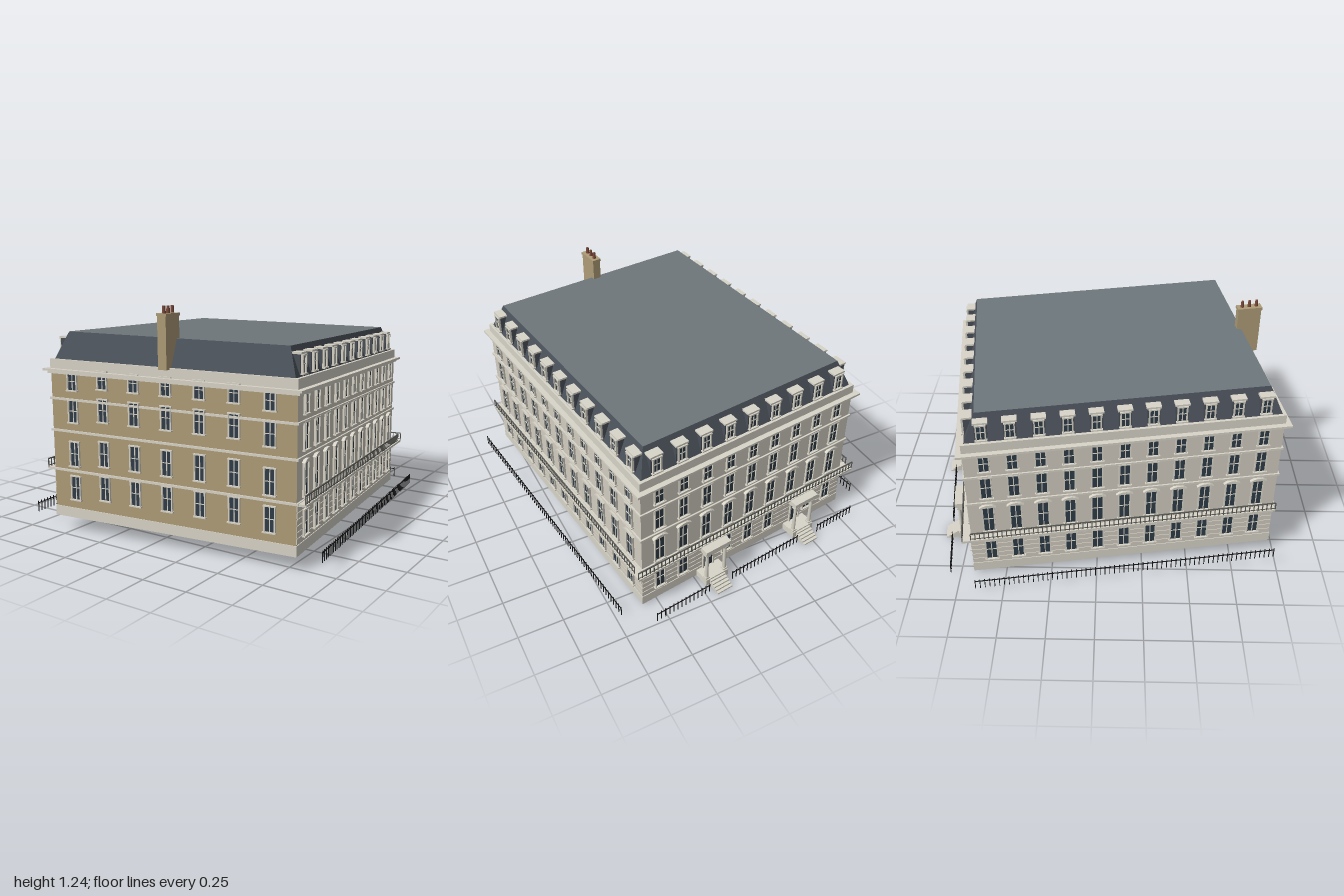
import * as THREE from 'three';
import { mergeGeometries } from 'three/addons/utils/BufferGeometryUtils.js';

const STONE = 0xd2cdc1, TRIM = 0xd8d4c8, BRICK = 0xae9c78, GLASS = 0x2f3c47, SLATE = 0x4a5059,
  LEAD = 0x6e777b, IRON = 0x161616, RAIL = 0x5c5c57, POT = 0x7b4a3a;
const HX = 0.70, HZ = 0.825;            // half width and half depth of the walls
const BASE = 0.05, EAVES = 0.905, RIDGE = 1.05;

export function createModel() {
  const group = new THREE.Group();
  const parts = new Map();

  // The house is turned on its plot and every level follows the sloping street.
  const slope = new THREE.Matrix4().set(1, 0, 0, 0, -0.0065, 1, 0.035, 0, 0, 0, 1, 0, 0, 0, 0, 1);
  const plot = new THREE.Matrix4().makeRotationY(0.131).setPosition(0, 0, 0.055).multiply(slope);

  function add(name, color, geo, matrix) {
    const g = geo.index ? geo.toNonIndexed() : geo;
    g.deleteAttribute('uv');
    if (matrix) g.applyMatrix4(matrix);
    if (!parts.has(name)) parts.set(name, { color, list: [] });
    parts.get(name).list.push(g);
  }
  // Box given by centre u, bottom y, inner depth w, and its size
  const box = (name, color, m, u, y, w, su, sy, sw) =>
    add(name, color, new THREE.BoxGeometry(su, sy, sw).translate(u, y + sy / 2, w + sw / 2), m);

  // Facades: u runs along the wall, w points outward from its face
  const facade = (angle, dist, half) => ({
    half, m: new THREE.Matrix4().makeRotationY(angle).multiply(new THREE.Matrix4().makeTranslation(0, 0, dist)),
  });
  const front = facade(0, HZ, HX), left = facade(Math.PI / 2, HX, HZ);
  const back = facade(Math.PI, HZ, HX), right = facade(-Math.PI / 2, HX, HZ);

  // Rectangular ring around the house
  function ring(name, color, out, y, h, inner = 0.01) {
    const rect = (C, x, z) => {
      const s = new C();
      s.moveTo(-x, -z); s.lineTo(x, -z); s.lineTo(x, z); s.lineTo(-x, z); s.closePath();
      return s;
    };
    const s = rect(THREE.Shape, HX + out, HZ + out);
    s.holes.push(rect(THREE.Path, HX - inner, HZ - inner));
    add(name, color, new THREE.ExtrudeGeometry(s, { depth: h, bevelEnabled: false }).rotateX(-Math.PI / 2).translate(0, y, 0));
  }

  function sashWindow(m, u, y, w, h, name, base = 0) {
    box(name + 'Glass', GLASS, m, u, y, base - 0.004, w, h, 0.007);
    for (const s of [-1, 1]) box(name + 'Frames', TRIM, m, u + s * w / 2, y, base, 0.007, h, 0.011);
    box(name + 'Frames', TRIM, m, u, y, base, 0.005, h, 0.006);
    box(name + 'Frames', TRIM, m, u, y + h / 2, base, w, 0.004, 0.006);
    box(name + 'Frames', TRIM, m, u, y + h, base, w + 0.012, 0.007, 0.012);
    box(name + 'Frames', TRIM, m, u, y - 0.007, base, w + 0.016, 0.007, 0.016);
  }

  // Walls, open underneath
  const wall = (name, color, f) =>
    add(name, color, new THREE.PlaneGeometry(f.half * 2, EAVES - BASE).translate(0, (EAVES + BASE) / 2, 0), f.m);
  wall('brickWall', BRICK, front);
  for (const f of [left, back, right]) wall('stoneWalls', STONE, f);

  // Plinth, string courses, cornice and parapet
  ring('plinth', TRIM, 0.004, BASE, 0.055);
  for (const y of [0.305, 0.52, 0.692]) ring('stringCourses', TRIM, 0.009, y, 0.012);
  ring('cornice', TRIM, 0.014, 0.832, 0.014);
  ring('cornice', TRIM, 0.032, 0.846, 0.012);
  ring('parapet', TRIM, 0.003, 0.858, 0.05, 0.014);

  // Brick front: seven columns, the middle five set slightly higher
  for (let c = -3; c <= 3; c++) {
    const lift = Math.abs(c) < 3 ? 0.02 : 0;
    for (const [y, h] of [[0.155, 0.125], [0.34, 0.128], [0.578, 0.115], [0.75, 0.088]])
      sashWindow(front.m, c * 0.188, y + lift, 0.056, h, 'frontWindow');
  }

  // Stone facades
  const porches = [-0.353, 0.274].map(x => -x);   // positions along the back wall
  const hood = new THREE.Shape();
  hood.moveTo(-0.045, 0); hood.lineTo(0.045, 0); hood.quadraticCurveTo(0, 0.036, -0.045, 0);
  for (const [f, n, step] of [[left, 5, 0.1444], [right, 5, 0.1444], [back, 4, 0.148]]) {
    // Rusticated ground floor
    for (let i = 0; i < 6; i++)
      box('rustication', STONE, f.m, 0, 0.112 + i * 0.032, 0, f.half * 2, 0.027, 0.004);
    for (let c = -n; c <= n; c++) {
      const u = c * step;
      if (f !== back || porches.every(p => Math.abs(p - u) > 0.075))
        sashWindow(f.m, u, 0.137, 0.06, 0.125, 'groundWindow', 0.003);
      sashWindow(f.m, u, 0.335, 0.06, 0.16, 'mainFloorWindow');
      add('windowHoods', TRIM, new THREE.ExtrudeGeometry(hood, { depth: 0.018, bevelEnabled: false, curveSegments: 5 })
        .translate(u, 0.5, 0), f.m);
      sashWindow(f.m, u, 0.56, 0.058, 0.13, 'upperWindow');
      sashWindow(f.m, u, 0.735, 0.056, 0.092, 'topWindow');
      // Dormer standing on the roof slope
      box('dormerCheeks', SLATE, f.m, u, EAVES, -0.068, 0.066, 0.108, 0.05);
      box('dormerRoofs', TRIM, f.m, u, EAVES + 0.108, -0.07, 0.076, 0.01, 0.058);
      sashWindow(f.m, u, EAVES + 0.018, 0.046, 0.082, 'dormer', -0.018);
    }
    // Balcony with brackets and balustrade
    const len = f.half * 2 + (f === back ? 0.1 : 0);
    box('balconySlab', TRIM, f.m, 0, 0.302, 0, len, 0.012, 0.05);
    box('balconyRails', RAIL, f.m, 0, 0.355, 0.042, len, 0.006, 0.006);
    box('balconyRails', RAIL, f.m, 0, 0.32, 0.043, len, 0.003, 0.004);
    const count = Math.round(len / 0.024);
    for (let i = 0; i <= count; i++)
      box('balconyRails', RAIL, f.m, (i / count - 0.5) * len, 0.314, 0.043, 0.005, 0.042, 0.004);
    for (let c = -n; c < n; c++)
      box('balconyBrackets', TRIM, f.m, (c + 0.5) * step, 0.282, 0, 0.014, 0.02, 0.038);
    // Street railing
    const dist = 0.132, fenceLen = f.half * 2 - 0.01, pickets = Math.round(fenceLen / 0.026);
    const open = u => f === back && porches.some(p => Math.abs(p - u) < 0.055);
    for (let i = 0; i <= pickets; i++) {
      const u = (i / pickets - 0.5) * fenceLen;
      if (open(u)) continue;
      box('streetRailings', IRON, f.m, u, 0.045, dist - 0.002, 0.004, 0.06, 0.004);
      if (i < pickets && !open(u + fenceLen / pickets))
        box('streetRailings', IRON, f.m, u + fenceLen / pickets / 2, 0.092, dist - 0.002, fenceLen / pickets, 0.004, 0.004);
    }
  }

  // Two porches with columns, door and steps
  for (const p of porches) {
    box('porchRoof', TRIM, back.m, p, 0.285, 0, 0.165, 0.026, 0.098);
    box('porchRoof', TRIM, back.m, p, 0.268, 0, 0.145, 0.018, 0.088);
    box('porchFloor', TRIM, back.m, p, 0.05, 0, 0.15, 0.04, 0.095);
    box('doors', GLASS, back.m, p, 0.09, 0, 0.06, 0.15, 0.007);
    for (const s of [-1, 1]) {
      box('doorFrames', TRIM, back.m, p + s * 0.034, 0.09, 0, 0.009, 0.155, 0.014);
      add('porchColumns', TRIM, new THREE.CylinderGeometry(0.0095, 0.011, 0.17, 12).translate(p + s * 0.06, 0.18, 0.075), back.m);
      box('porchColumns', TRIM, back.m, p + s * 0.06, 0.09, 0.061, 0.028, 0.01, 0.028);
      box('porchColumns', TRIM, back.m, p + s * 0.06, 0.26, 0.061, 0.028, 0.01, 0.028);
    }
    for (let i = 0; i < 5; i++)
      box('porchSteps', TRIM, back.m, p, 0.038, 0.09 + i * 0.016, 0.1, 0.044 - i * 0.009, 0.016);
  }

  // Mansard roof
  const lo = [[-0.687, 0.816], [0.687, 0.816], [0.687, -0.816], [-0.687, -0.816]];
  const hi = [[-0.63, 0.75], [0.63, 0.75], [0.63, -0.75], [-0.63, -0.75]];
  const slopes = [];
  const put = ([x, z], y) => slopes.push(x, y, z);
  for (let i = 0; i < 4; i++) {
    const j = (i + 1) % 4;
    put(lo[i], EAVES - 0.01); put(lo[j], EAVES - 0.01); put(hi[j], RIDGE);
    put(lo[i], EAVES - 0.01); put(hi[j], RIDGE); put(hi[i], RIDGE);
  }
  const mansard = new THREE.BufferGeometry();
  mansard.setAttribute('position', new THREE.Float32BufferAttribute(slopes, 3));
  mansard.computeVertexNormals();
  add('mansardSlopes', SLATE, mansard);
  add('flatRoof', LEAD, new THREE.PlaneGeometry(1.26, 1.5).rotateX(-Math.PI / 2).translate(0, RIDGE, 0));

  // Chimney stack and pots
  box('chimneyStack', BRICK, null, 0, 0.9, 0.725, 0.048, 0.262, 0.13);
  box('chimneyCap', BRICK, null, 0, 1.162, 0.721, 0.056, 0.014, 0.138);
  for (const z of [0.75, 0.79, 0.83])
    add('chimneyPots', POT, new THREE.CylinderGeometry(0.008, 0.01, 0.036, 10).translate(0, 1.194, z));

  for (const [name, { color, list }] of parts) {
    const mesh = new THREE.Mesh(mergeGeometries(list).applyMatrix4(plot),
      new THREE.MeshStandardMaterial({ color, side: THREE.DoubleSide }));
    mesh.name = name;
    group.add(mesh);
  }
  return group;
}
